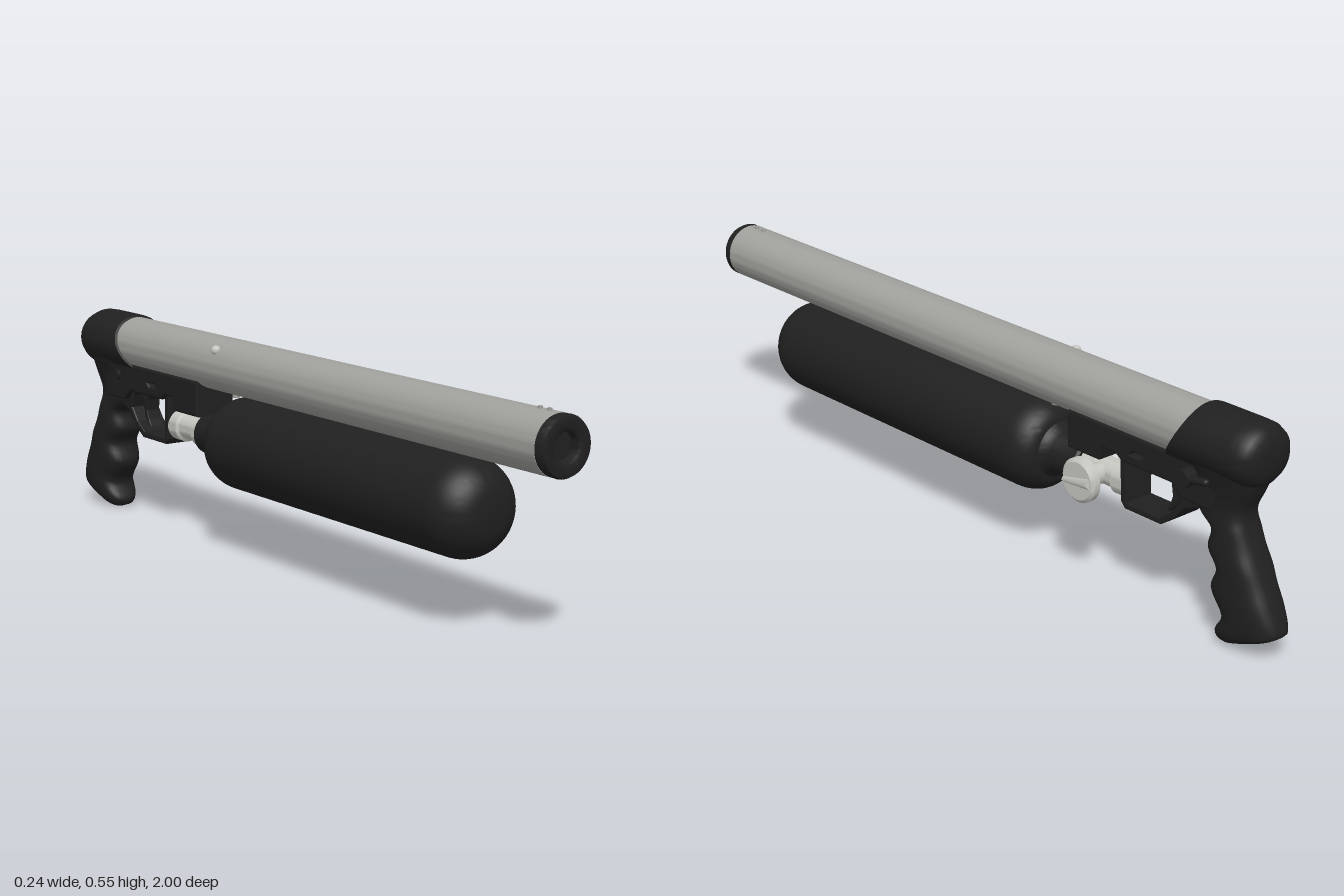
import * as THREE from 'three';
import { toCreasedNormals } from 'three/addons/utils/BufferGeometryUtils.js';

const material = (name, color) => Object.assign(new THREE.MeshStandardMaterial({ color }), { name });
const BORE_Y = 0.48, BOTTLE_Y = 0.288;

export function createModel() {
  const model = new THREE.Group();
  const black = material('matte black', 0x202020);
  const grey = material('barrel grey', 0xa0a09c);
  const silver = material('bright silver', 0xc6c6c0);

  const add = (name, geometry, mat, x = 0, y = 0, z = 0) => {
    const mesh = new THREE.Mesh(geometry, mat);
    mesh.name = name;
    mesh.position.set(x, y, z);
    model.add(mesh);
    return mesh;
  };
  // Turned part along z; points are [radius, z] with z rising
  const turned = (points, sides = 48) => toCreasedNormals(
    new THREE.LatheGeometry(points.map(p => new THREE.Vector2(...p)), sides).rotateX(Math.PI / 2), 0.6);
  // Side profile in [-z, y], extruded across x
  const plate = (outline, holes, width, bevel = 0.006) => {
    const shape = new THREE.Shape(outline.map(p => new THREE.Vector2(...p)));
    shape.holes = holes.map(h => new THREE.Path(h.map(p => new THREE.Vector2(...p))));
    const depth = width - 2 * bevel;
    return new THREE.ExtrudeGeometry(shape, {
      depth, bevelThickness: bevel, bevelSize: bevel, bevelOffset: -bevel, bevelSegments: 2,
    }).translate(0, 0, -depth / 2).rotateY(Math.PI / 2);
  };
  const cylinderX = (r, length, sides = 24) =>
    new THREE.CylinderGeometry(r, r, length, sides).rotateZ(Math.PI / 2);

  // Barrel and hollow muzzle cap
  add('barrel', turned([[0, -0.8], [0.071, -0.8], [0.071, 0.973], [0, 0.973]], 64), grey, 0, BORE_Y);
  add('muzzleCap', turned([[0.07, 0.972], [0.071, 0.99], [0.067, 0.998], [0.06, 1], [0.042, 1],
    [0.035, 0.996], [0.032, 0.985], [0.032, 0.976], [0, 0.976]], 64), black, 0, BORE_Y);

  // Small screws on the barrel
  for (const z of [0.91, 0.94])
    add('topScrew', new THREE.CylinderGeometry(0.006, 0.006, 0.012, 12), grey, 0, 0.55, z);
  add('sideScrew', new THREE.SphereGeometry(0.013, 16, 12), silver, -0.054, 0.526, -0.27);
  add('lowerScrew', new THREE.CylinderGeometry(0.01, 0.01, 0.016, 12), grey, 0, 0.408, -0.26);

  // Air bottle with rounded ends and neck
  const bottle = [[0, -0.385], [0.05, -0.385], [0.055, -0.378], [0.055, -0.3], [0.062, -0.284]];
  for (let i = 0; i <= 8; i++) {
    const a = (i / 8) * Math.PI / 2;
    bottle.push([0.07 + 0.05 * Math.sin(a), -0.2 - 0.075 * Math.cos(a)]);
  }
  for (let i = 0; i <= 12; i++) {
    const a = (i / 12) * Math.PI / 2;
    bottle.push([0.03 + 0.09 * Math.cos(a), 0.66 + 0.1 * Math.sin(a)]);
  }
  bottle.push([0, 0.765]);
  add('airBottle', turned(bottle, 64), black, 0, BOTTLE_Y);

  // Valve behind the bottle
  add('valveBody', turned([[0, -0.535], [0.036, -0.535], [0.042, -0.528], [0.042, -0.49], [0.034, -0.485],
    [0.034, -0.42], [0.043, -0.415], [0.043, -0.375], [0, -0.375]], 32), silver, 0, BOTTLE_Y);

  // Side dial on its stem
  const dialZ = -0.44;
  add('dialStem', cylinderX(0.026, 0.08), silver, 0.04, BOTTLE_Y, dialZ);
  const dial = new THREE.LatheGeometry([[0, 0.07], [0.045, 0.07], [0.055, 0.077], [0.055, 0.093],
    [0.047, 0.1], [0, 0.1]].map(p => new THREE.Vector2(...p)), 32).rotateZ(-Math.PI / 2);
  add('dial', toCreasedNormals(dial, 0.6), silver, 0, BOTTLE_Y, dialZ);
  const handle = add('dialHandle', new THREE.CylinderGeometry(0.006, 0.012, 0.085, 4).rotateX(Math.PI / 2),
    silver, 0.104, BOTTLE_Y, dialZ);
  handle.scale.set(1, 1.1, 1);
  handle.rotation.x = 0.15;

  // Receiver with a slot through it
  add('receiver', plate(
    [[0.36, 0.432], [0.36, 0.337], [0.465, 0.337], [0.475, 0.372], [0.52, 0.372], [0.54, 0.358],
      [0.7, 0.358], [0.73, 0.33], [0.82, 0.33], [0.85, 0.432]],
    [[[0.565, 0.384], [0.575, 0.394], [0.61, 0.392], [0.6, 0.383]]], 0.115), black);

  // Trigger guard loop
  add('triggerGuard', plate(
    [[0.52, 0.375], [0.527, 0.25], [0.54, 0.235], [0.655, 0.235], [0.695, 0.262], [0.73, 0.3],
      [0.78, 0.32], [0.76, 0.375]],
    [[[0.542, 0.362], [0.545, 0.252], [0.65, 0.252], [0.685, 0.276], [0.712, 0.31], [0.7, 0.345], [0.68, 0.362]]],
    0.085, 0.004), black);
  add('trigger', plate([[0.645, 0.365], [0.665, 0.335], [0.67, 0.305], [0.662, 0.28], [0.65, 0.264],
    [0.662, 0.264], [0.678, 0.282], [0.686, 0.31], [0.69, 0.365]], [], 0.04, 0.003), black);

  // Safety lever on the left, with a plain pin on the right
  add('safetyPivot', cylinderX(0.022, 0.06), black, 0.059, 0.396, -0.757);
  const lever = add('safetyLever', new THREE.CapsuleGeometry(0.009, 0.055, 4, 10).rotateX(Math.PI / 2),
    black, 0.078, 0.402, -0.795);
  lever.rotation.x = 0.2;
  add('safetyPin', cylinderX(0.014, 0.02), black, -0.056, 0.396, -0.757);

  // Rear cap, its front edge sweeping forward towards the bottom
  const rearCap = new THREE.LatheGeometry([[0, -0.945], [0.035, -0.944], [0.055, -0.938], [0.068, -0.926],
    [0.076, -0.905], [0.077, -0.88], [0.077, -0.76], [0.076, -0.75], [0.07, -0.748]]
    .map(p => new THREE.Vector2(...p)), 48).rotateX(Math.PI / 2);
  const pos = rearCap.attributes.position;
  for (let i = 0; i < pos.count; i++) {
    const drop = Math.max(0, (1 - pos.getY(i) / 0.077) / 2);
    if (pos.getZ(i) > -0.8) pos.setZ(i, pos.getZ(i) + 0.09 * drop ** 1.6);
    pos.setX(i, pos.getX(i) * 1.11);
  }
  add('rearCap', toCreasedNormals(rearCap, 0.7), black, 0, BORE_Y);

  // Grip lofted between its front and back edges: [front z, y, back z, y, half width]
  const sections = [
    [-0.74, 0.44, -0.938, 0.47, 0.075], [-0.735, 0.385, -0.912, 0.39, 0.058],
    [-0.738, 0.335, -0.892, 0.345, 0.05], [-0.765, 0.305, -0.891, 0.32, 0.05],
    [-0.798, 0.28, -0.898, 0.295, 0.052], [-0.79, 0.232, -0.915, 0.255, 0.055],
    [-0.82, 0.187, -0.935, 0.215, 0.057], [-0.803, 0.134, -0.955, 0.175, 0.057],
    [-0.84, 0.072, -0.977, 0.13, 0.056], [-0.817, 0.03, -0.996, 0.085, 0.053],
    [-0.822, 0.012, -0.998, 0.069, 0.048], [-0.84, 0.004, -0.982, 0.056, 0.038],
  ];
  const front = new THREE.CatmullRomCurve3(sections.map(s => new THREE.Vector3(s[4], s[1], s[0])));
  const back = new THREE.CatmullRomCurve3(sections.map(s => new THREE.Vector3(s[4], s[3], s[2])));
  const rows = 44, sides = 32, verts = [], faces = [];
  const soften = v => Math.sign(v) * Math.abs(v) ** 0.75;
  for (let i = 0; i <= rows; i++) {
    const f = front.getPoint(i / rows), b = back.getPoint(i / rows);
    for (let j = 0; j < sides; j++) {
      const a = (j / sides) * Math.PI * 2, k = (1 + soften(Math.sin(a))) / 2;
      verts.push(f.x * soften(Math.cos(a)), b.y + (f.y - b.y) * k, b.z + (f.z - b.z) * k);
      const n = (j + 1) % sides, p = i * sides;
      if (i < rows) faces.push(p + j, p + n, p + sides + j, p + n, p + sides + n, p + sides + j);
      else faces.push(p + sides, p + j, p + n);
    }
  }
  verts.push(0, 0.028, -0.911);
  const grip = new THREE.BufferGeometry();
  grip.setAttribute('position', new THREE.Float32BufferAttribute(verts, 3));
  grip.setIndex(faces);
  grip.computeVertexNormals();
  add('grip', grip, black);

  return model;
}
